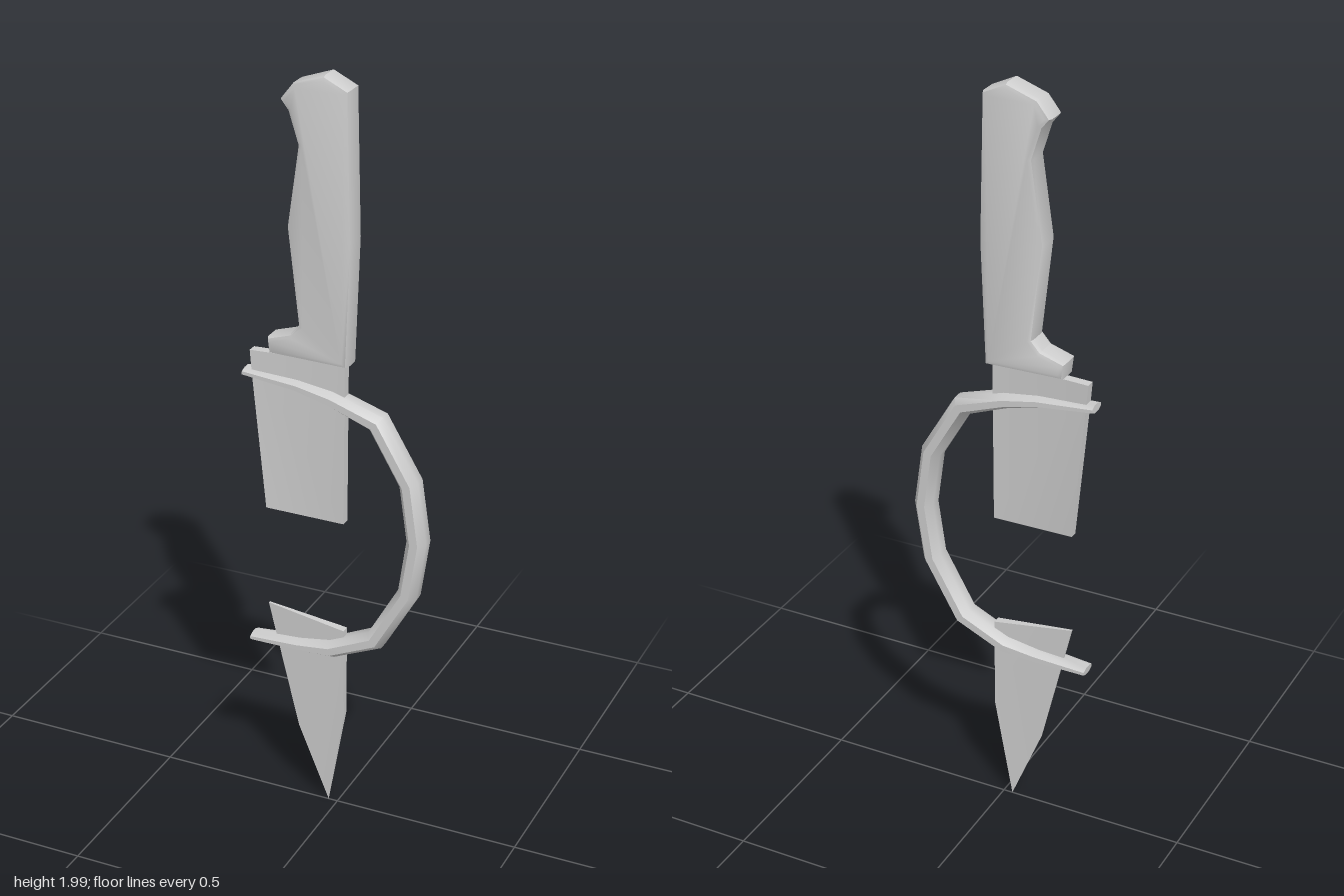
import * as THREE from 'three';
import { toCreasedNormals } from 'three/addons/utils/BufferGeometryUtils.js';

const material = new THREE.MeshStandardMaterial({ color: 0xcccccc, side: THREE.DoubleSide });

function add(group, name, geometry) {
  const mesh = new THREE.Mesh(geometry, material);
  mesh.name = name;
  group.add(mesh);
}

function indexed(positions, index, crease) {
  const g = new THREE.BufferGeometry();
  g.setAttribute('position', new THREE.Float32BufferAttribute(positions, 3));
  g.setIndex(index);
  return toCreasedNormals(g, crease);
}

// Convex counter-clockwise outline of [x, y, half thickness]
function bladePiece(outline) {
  const n = outline.length;
  const positions = [], index = [];
  for (const side of [1, -1]) {
    for (const [x, y, t] of outline) positions.push(x, y, side * t);
  }
  for (let i = 1; i < n - 1; i++) {
    index.push(0, i, i + 1, n, n + i + 1, n + i);
  }
  for (let i = 0; i < n; i++) {
    const j = (i + 1) % n;
    index.push(i, n + i, n + j, i, n + j, j);
  }
  return indexed(positions, index, 0.5);
}

// Faceted oval bar swept through stations of [x, y, half width in plane, half depth in z]
function sweptBar(stations, sides = 8) {
  const positions = [], index = [];
  const last = stations.length - 1;
  stations.forEach(([x, y, w, d], i) => {
    const a = stations[Math.max(i - 1, 0)], b = stations[Math.min(i + 1, last)];
    const tangent = new THREE.Vector2(b[0] - a[0], b[1] - a[1]).normalize();
    for (let k = 0; k < sides; k++) {
      const angle = ((k + 0.5) / sides) * Math.PI * 2;
      const grow = 1 / Math.cos(Math.PI / sides);
      const u = Math.cos(angle) * w * grow, v = Math.sin(angle) * d * grow;
      positions.push(x - tangent.y * u, y + tangent.x * u, v);
    }
  });
  for (let i = 0; i < last; i++) {
    for (let k = 0; k < sides; k++) {
      const a = i * sides + k, b = i * sides + (k + 1) % sides;
      index.push(a, b, b + sides, a, b + sides, a + sides);
    }
  }
  const end = last * sides;
  for (let k = 1; k < sides - 1; k++) {
    index.push(0, k + 1, k, end, end + k, end + k + 1);
  }
  return indexed(positions, index, 0.9);
}

export function createModel() {
  const model = new THREE.Group();
  model.name = 'knife';

  // Contoured grip with a finger guard and hooked pommel
  const outline = [
    [0.037, 1.28], [0.05, 1.6], [0.042, 1.97], [-0.02, 2.0], [-0.1, 1.972],
    [-0.133, 1.93], [-0.113, 1.905], [-0.088, 1.825], [-0.118, 1.62],
    [-0.09, 1.37], [-0.112, 1.345], [-0.175, 1.325], [-0.17, 1.284],
  ].map(([x, y]) => new THREE.Vector2(x, y));
  const bevel = 0.012;
  const grip = new THREE.ExtrudeGeometry(new THREE.Shape(outline), {
    depth: 0.068 - 2 * bevel, bevelThickness: bevel, bevelSize: bevel,
    bevelOffset: -bevel, bevelSegments: 2,
  });
  grip.translate(0, 0, -0.034 + bevel);
  add(model, 'handle', toCreasedNormals(grip, 0.6));

  // Upper blade stub
  add(model, 'upperBlade', bladePiece([
    [-0.23, 1.275, 0.012], [-0.225, 1.21, 0.012], [-0.192, 0.848, 0.01],
    [0.022, 0.848, 0.012], [0.025, 1.285, 0.012],
  ]));

  // Lower blade, thinning to the edge and the point
  add(model, 'lowerBlade', bladePiece([
    [0.022, 0.54, 0.011], [-0.192, 0.57, 0.003], [-0.11, 0.22, 0.001],
    [-0.025, 0.01, 0], [0.022, 0.29, 0.008],
  ]));

  // Curved bar joining the two blade pieces
  add(model, 'curvedBar', sweptBar([
    [-0.247, 1.215, 0.01, 0.024], [-0.1, 1.203, 0.015, 0.03], [-0.01, 1.185, 0.02, 0.034],
    [0.11, 1.143, 0.026, 0.034], [0.197, 0.995, 0.026, 0.034], [0.219, 0.84, 0.026, 0.034],
    [0.197, 0.69, 0.026, 0.034], [0.11, 0.537, 0.026, 0.034], [-0.01, 0.482, 0.023, 0.034],
    [-0.1, 0.472, 0.016, 0.03], [-0.237, 0.465, 0.01, 0.024],
  ]));

  return model;
}
